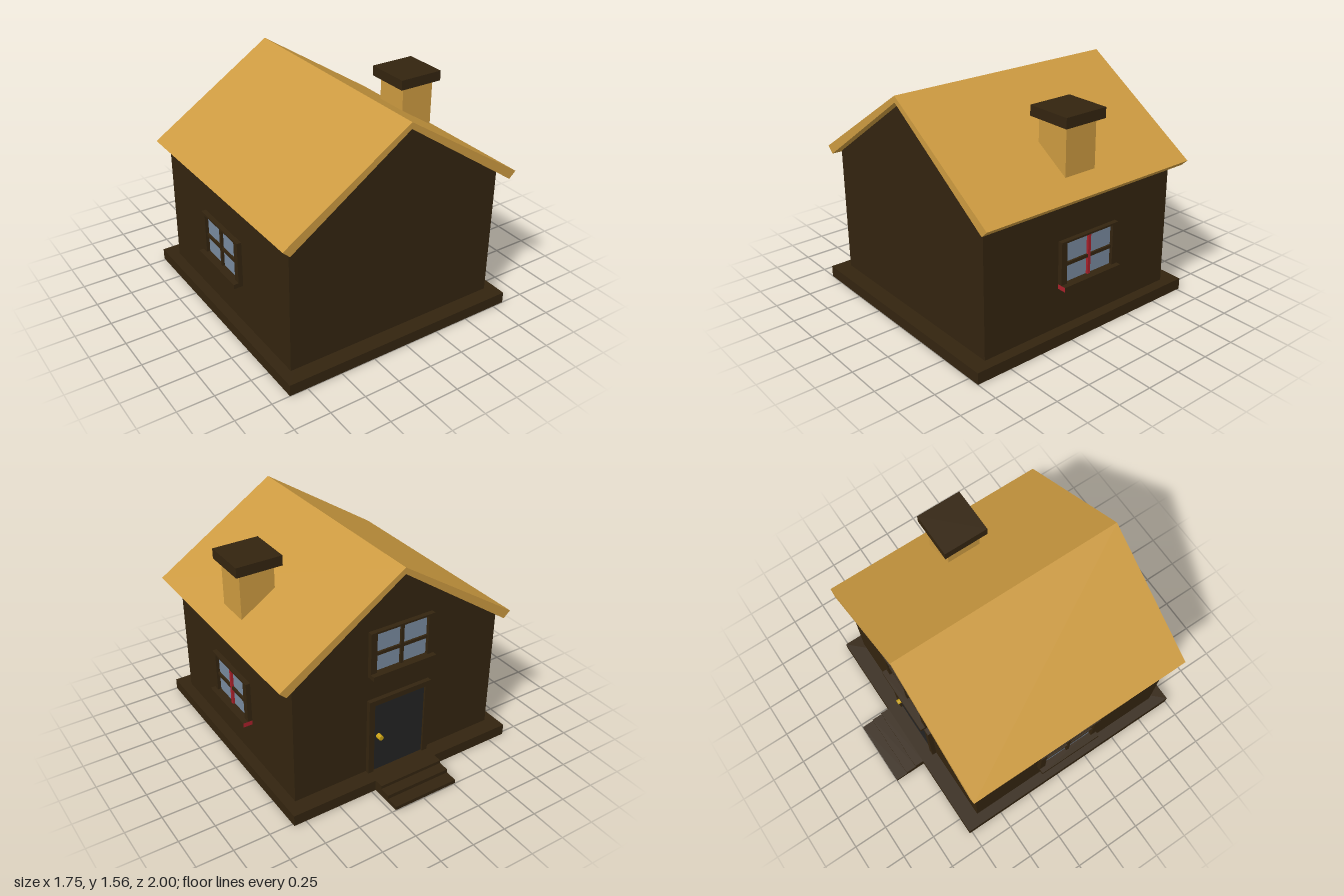
import * as THREE from 'three';

const mat = (color) => new THREE.MeshStandardMaterial({ color, flatShading: true });
const wood = mat(0x33240f), straw = mat(0xcc9a40), glass = mat(0x78899e);
const red = mat(0xa8202a), slate = mat(0x232323), brass = mat(0xc8a012);

// Box given by its extents along each axis
function box(parent, name, material, [x0, x1], [y0, y1], [z0, z1]) {
  const mesh = new THREE.Mesh(new THREE.BoxGeometry(x1 - x0, y1 - y0, z1 - z0), material);
  mesh.position.set((x0 + x1) / 2, (y0 + y1) / 2, (z0 + z1) / 2);
  mesh.name = name;
  parent.add(mesh);
  return mesh;
}

// Outline in x and y, extruded from z0 to z1
function prism(parent, name, material, points, z0, z1) {
  const shape = new THREE.Shape(points.map(([x, y]) => new THREE.Vector2(x, y)));
  const geometry = new THREE.ExtrudeGeometry(shape, { depth: z1 - z0, bevelEnabled: false });
  const mesh = new THREE.Mesh(geometry, material);
  mesh.position.z = z0;
  mesh.name = name;
  parent.add(mesh);
}

// Four-pane window facing local +z, its bottom at y = 0
function makeWindow(name, sillMaterial, mullionMaterial) {
  const g = new THREE.Group();
  g.name = name;
  box(g, 'sill', sillMaterial, [-0.24, 0.24], [0, 0.032], [0, 0.066]);
  for (const s of [-1, 1]) {
    const jamb = [0.195 * s, 0.24 * s].sort((a, b) => a - b);
    box(g, 'jamb', wood, jamb, [0.032, 0.325], [0, 0.032]);
  }
  box(g, 'head', wood, [-0.195, 0.195], [0.312, 0.325], [0, 0.032]);
  box(g, 'pane', glass, [-0.195, 0.195], [0.032, 0.312], [0, 0.008]);
  box(g, 'crossbar', wood, [-0.195, 0.195], [0.15, 0.172], [0.008, 0.022]);
  box(g, 'mullion', mullionMaterial, [-0.011, 0.011], [0.032, 0.312], [0.008, 0.024]);
  return g;
}

export function createModel() {
  const house = new THREE.Group();
  house.name = 'house';

  // Base slab and gabled walls
  box(house, 'base', wood, [-0.875, 0.835], [0, 0.08], [-0.77, 1]);
  prism(house, 'walls', wood,
    [[-0.8, 0.08], [0.76, 0.08], [0.76, 0.988], [0, 1.513], [-0.8, 0.96]], -0.655, 0.89);

  // Roof: one folded slab overhanging the walls
  prism(house, 'roof', straw,
    [[-0.873, 0.99], [-0.825, 0.945], [0, 1.515], [0.825, 0.945], [0.873, 0.99], [0, 1.558]],
    -0.712, 0.948);

  // Chimney
  box(house, 'chimney', straw, [0.49, 0.735], [1.03, 1.405], [0, 0.243]);
  box(house, 'chimneyCap', wood, [0.45, 0.773], [1.405, 1.475], [-0.042, 0.278]);

  // Steps to the door
  [[-0.835, 0.08], [-0.912, 0.057], [-1, 0.03]].forEach(([z, top], i) => {
    const inner = [-0.77, -0.835, -0.912][i];
    box(house, 'step', wood, [-0.26, 0.22], [0.004, top], [z, inner]);
  });

  // Door with its frame and knob
  box(house, 'doorJamb', wood, [-0.26, -0.218], [0.08, 0.65], [-0.686, -0.655]);
  box(house, 'doorJamb', wood, [0.178, 0.22], [0.08, 0.65], [-0.686, -0.655]);
  box(house, 'doorHead', wood, [-0.218, 0.178], [0.612, 0.65], [-0.686, -0.655]);
  box(house, 'door', slate, [-0.218, 0.178], [0.08, 0.612], [-0.672, -0.655]);
  const knob = new THREE.Mesh(new THREE.CylinderGeometry(0.018, 0.018, 0.04, 8), brass);
  knob.rotation.x = Math.PI / 2;
  knob.position.set(0.14, 0.355, -0.691);
  knob.name = 'doorKnob';
  house.add(knob);

  // Windows; the left one of the model has a red mullion and a red-sided sill
  const leftWindow = makeWindow('leftWindow', [wood, red, wood, red, red, red], red);
  leftWindow.children[0].material = [red, red, wood, red, wood, red];
  leftWindow.rotation.y = Math.PI / 2;
  leftWindow.position.set(0.779, 0.375, 0.088);
  const rightWindow = makeWindow('rightWindow', wood, wood);
  rightWindow.rotation.y = -Math.PI / 2;
  rightWindow.position.set(-0.803, 0.375, 0.088);
  const backWindow = makeWindow('backWindow', wood, wood);
  backWindow.rotation.y = Math.PI;
  backWindow.position.set(-0.02, 0.835, -0.658);
  house.add(leftWindow, rightWindow, backWindow);

  return house;
}
